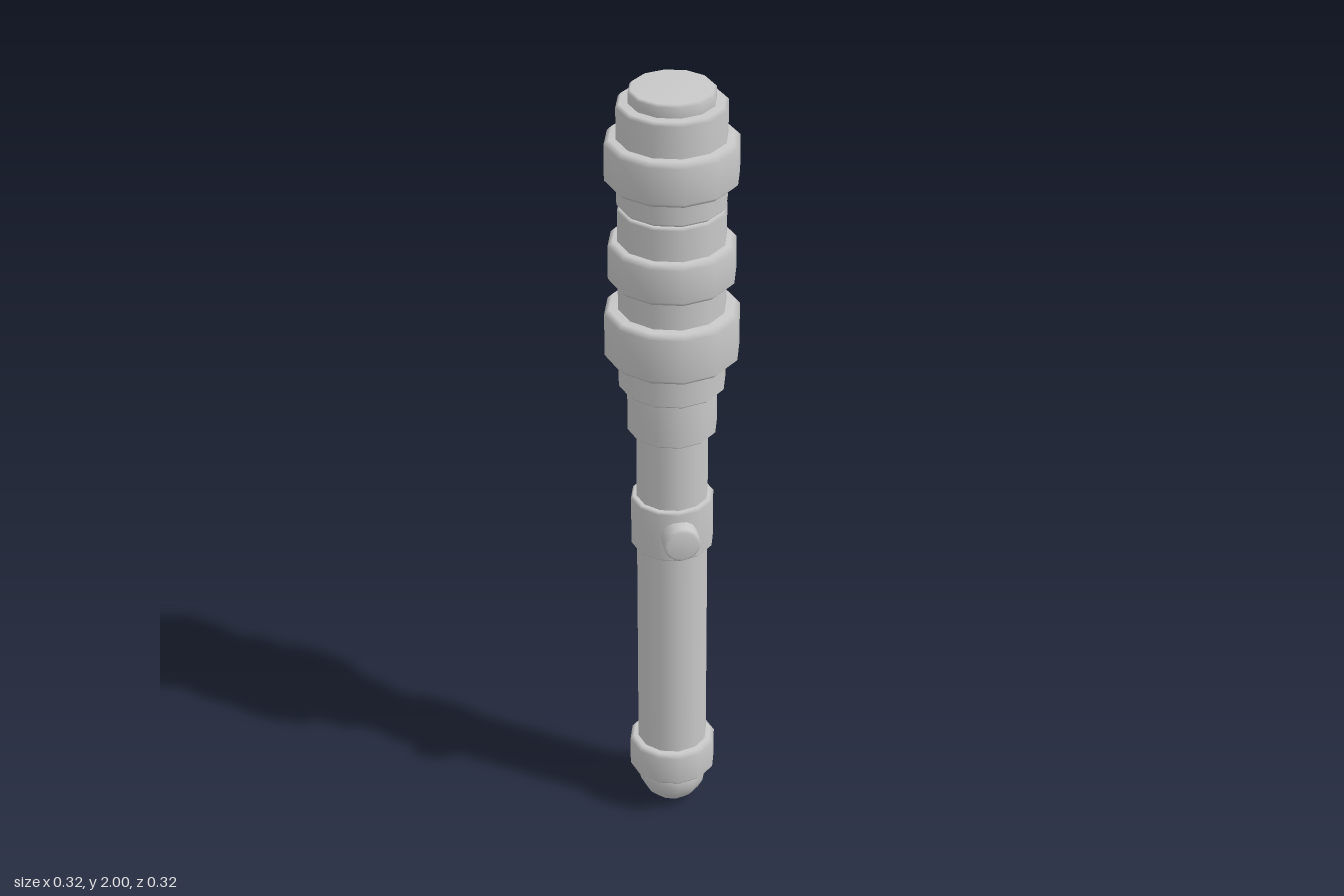
import * as THREE from 'three';

const SIDES = 12;

// Solid turned section from y0 to y1 with softly bevelled rims
function turned(radius, y0, y1, bevel, sides = SIDES) {
  const profile = [
    [0, y0], [radius - bevel, y0], [radius, y0 + bevel],
    [radius, y1 - bevel], [radius - bevel, y1], [0, y1],
  ].map(([r, y]) => new THREE.Vector2(r, y));
  return new THREE.LatheGeometry(profile, sides);
}

export function createModel() {
  const group = new THREE.Group();
  const metal = new THREE.MeshStandardMaterial({ color: 0xc8c8c8 });
  metal.name = 'light grey metal';

  const add = (name, geometry) => {
    const mesh = new THREE.Mesh(geometry, metal);
    mesh.name = name;
    group.add(mesh);
    return mesh;
  };

  // Rounded pommel at the foot
  add('pommel', new THREE.SphereGeometry(0.087, SIDES, 10)).position.y = 0.087;

  // Slim handle
  const handle = new THREE.CylinderGeometry(0.088, 0.088, 1.1, SIDES, 1, true);
  add('handle', handle).position.y = 0.65;

  // Collars, head sections and raised rings: name, radius, bottom, top, bevel
  const sections = [
    ['bottomCollar', 0.109, 0.103, 0.198, 0.01],
    ['buttonCollar', 0.102, 0.787, 0.927, 0.006],
    ['neck', 0.109, 1.113, 1.245, 0.005],
    ['lowerHead', 0.129, 1.235, 1.708, 0.006],
    ['upperHead', 0.13, 1.71, 1.968, 0.008],
    ['lowerRing', 0.162, 1.315, 1.447, 0.012],
    ['middleRing', 0.152, 1.517, 1.624, 0.012],
    ['upperRing', 0.158, 1.77, 1.882, 0.012],
    ['topCap', 0.102, 1.955, 2, 0.006],
  ];
  for (const [name, radius, y0, y1, bevel] of sections) {
    add(name, turned(radius, y0, y1, bevel));
  }

  // Round push button on the front
  const button = add('button', turned(0.045, 0.06, 0.14, 0.008, 16));
  button.rotation.x = Math.PI / 2;
  button.position.y = 0.857;

  return group;
}
